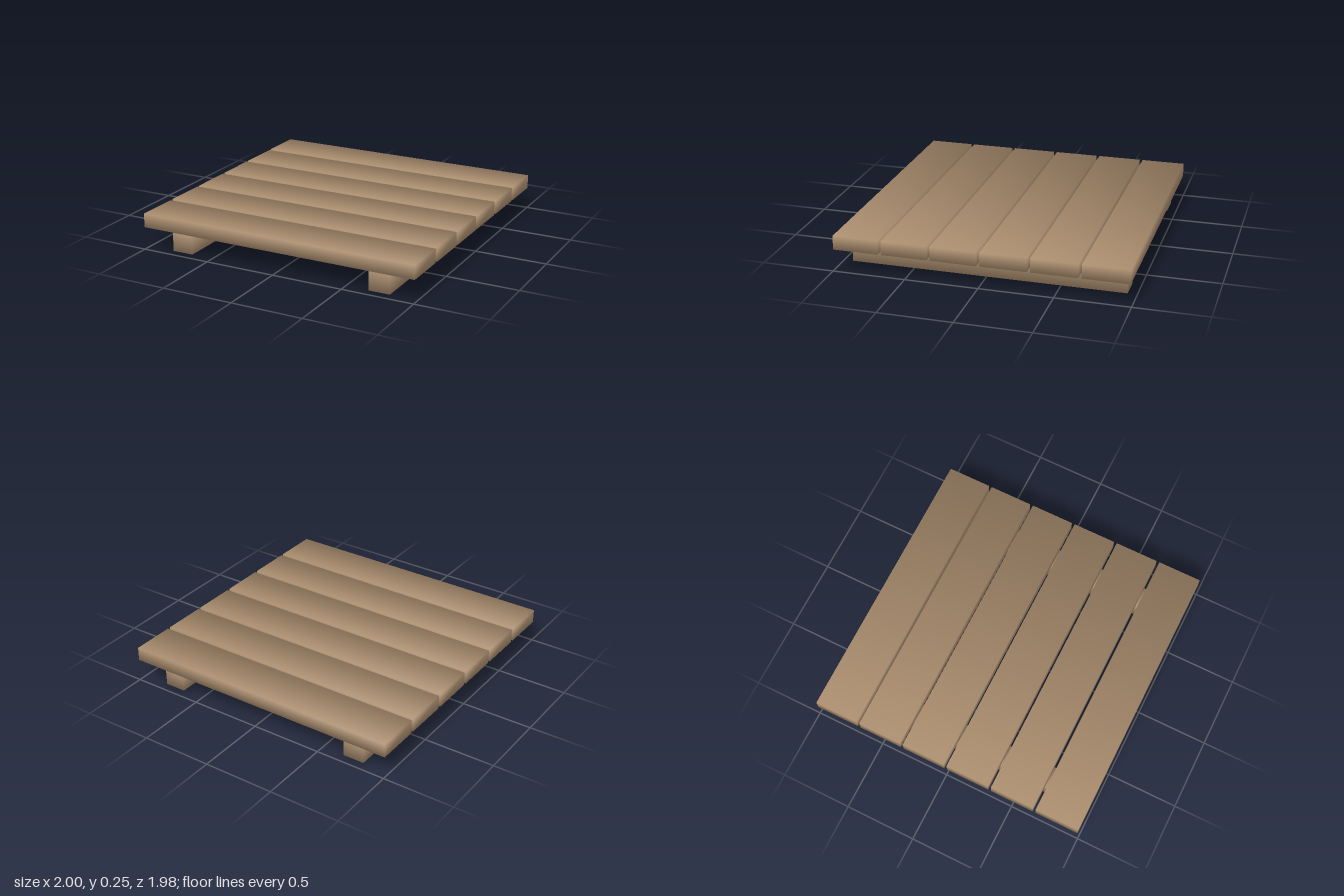
import * as THREE from 'three';

// Box whose normals are shared at the corners, for soft shading across the edges
function softBox(w, h, d) {
  const geo = new THREE.BoxGeometry(w, h, d);
  const pos = geo.attributes.position;
  const n = new THREE.Vector3();
  for (let i = 0; i < pos.count; i++) {
    n.set(Math.sign(pos.getX(i)), Math.sign(pos.getY(i)), Math.sign(pos.getZ(i))).normalize();
    geo.attributes.normal.setXYZ(i, n.x, n.y, n.z);
  }
  return geo;
}

export function createModel() {
  const group = new THREE.Group();
  group.name = 'woodenPallet';
  const wood = new THREE.MeshStandardMaterial({ name: 'wood', color: 0xb09272 });

  // Six deck planks running along x
  const plankGeo = softBox(2, 0.097, 0.312);
  const count = 6, pitch = 0.334;
  for (let i = 0; i < count; i++) {
    const plank = new THREE.Mesh(plankGeo, wood);
    plank.name = `plank${i + 1}`;
    plank.position.set(0, 0.204, (i - (count - 1) / 2) * pitch);
    group.add(plank);
  }

  // Two bearers running along z below the deck
  const bearerGeo = softBox(0.15, 0.157, 1.874);
  for (const side of [-1, 1]) {
    const bearer = new THREE.Mesh(bearerGeo, wood);
    bearer.name = side > 0 ? 'leftBearer' : 'rightBearer';
    bearer.position.set(side * 0.734, 0.0785, 0);
    group.add(bearer);
  }
  return group;
}
